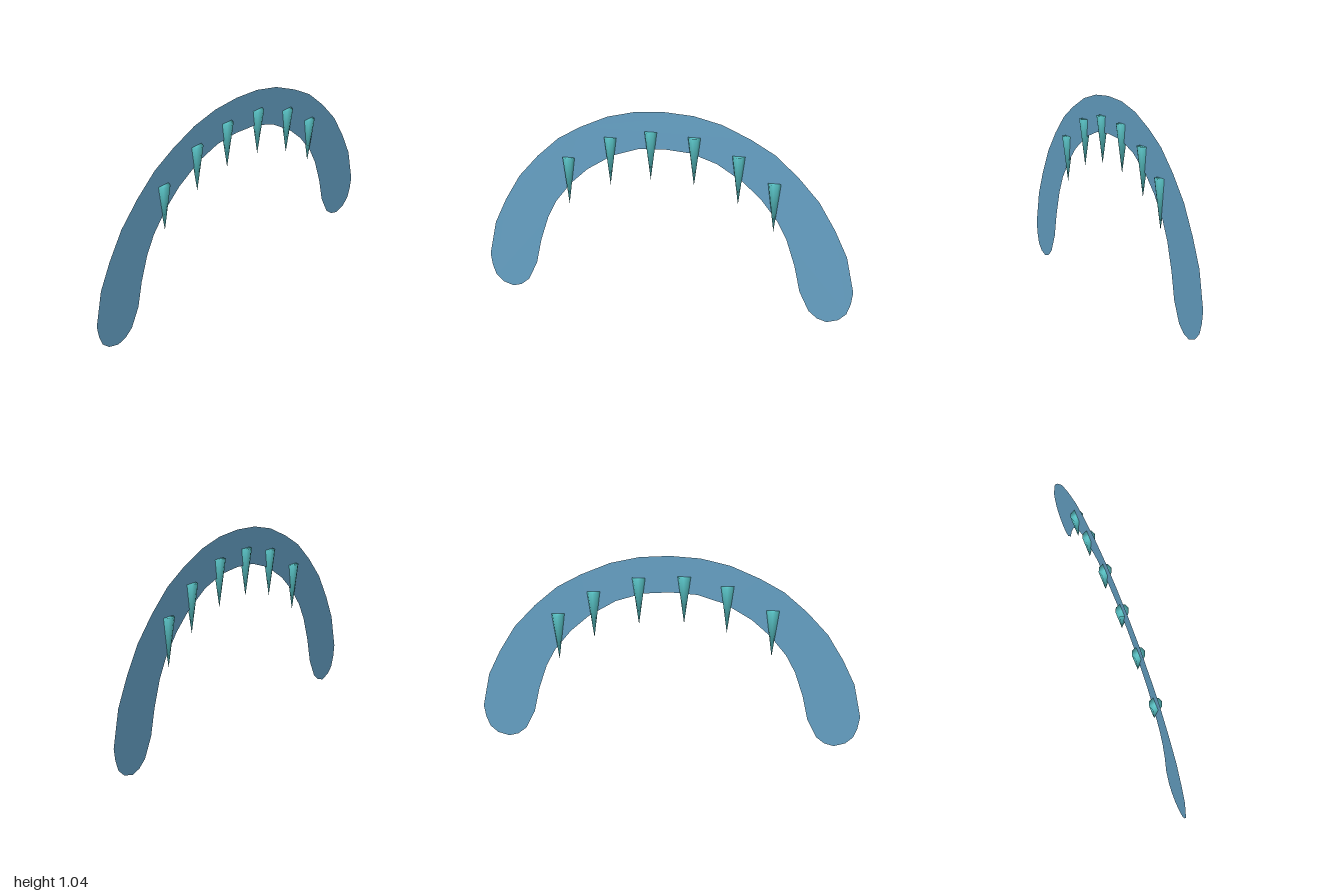
import * as THREE from 'three';
import { mergeVertices } from 'three/addons/utils/BufferGeometryUtils.js';

export function createModel() {
  const model = new THREE.Group();
  model.name = 'spikedArch';

  const archBlue = new THREE.MeshStandardMaterial({ color: 0x66a2c6, side: THREE.DoubleSide });
  archBlue.name = 'archBlue';
  const spikeTeal = new THREE.MeshStandardMaterial({ color: 0x5fd0d3 });
  spikeTeal.name = 'spikeTeal';

  // Flat arch: half outline from outer crown, around the rounded foot, to inner crown
  const half = [
    [0, 1.04], [0.155, 1.03], [0.305, 0.995], [0.455, 0.93], [0.58, 0.86], [0.70, 0.755],
    [0.81, 0.635], [0.895, 0.495], [0.96, 0.36], [1, 0.175], [0.99, 0.11], [0.97, 0.055],
    [0.93, 0.018], [0.87, 0], [0.82, 0.014], [0.775, 0.05], [0.725, 0.15], [0.695, 0.285],
    [0.65, 0.42], [0.6, 0.515], [0.515, 0.62], [0.42, 0.705], [0.28, 0.79], [0.14, 0.835], [0, 0.845],
  ];
  const mirrored = half.slice(1, -1).reverse().map(([x, y]) => [-x, y]);
  const outline = [...half, ...mirrored].map(([x, y]) => new THREE.Vector2(x, y));
  const arch = new THREE.Mesh(new THREE.ShapeGeometry(new THREE.Shape(outline)), archBlue);
  arch.name = 'arch';
  model.add(arch);

  // Downward spikes, with normals smoothed over the rim
  const height = 0.253;
  let cone = new THREE.ConeGeometry(0.034, height, 8);
  cone.rotateX(Math.PI);
  cone.translate(0, -height / 2, 0);
  cone.deleteAttribute('uv');
  cone.deleteAttribute('normal');
  cone = mergeVertices(cone);
  cone.computeVertexNormals();

  const tops = [[-0.525, 0.76], [-0.292, 0.885], [-0.072, 0.931], [0.16, 0.919], [0.393, 0.839], [0.58, 0.713]];
  tops.forEach(([x, y], i) => {
    const spike = new THREE.Mesh(cone, spikeTeal);
    spike.name = `spike${i + 1}`;
    spike.position.set(x, y, 0);
    model.add(spike);
  });

  return model;
}
